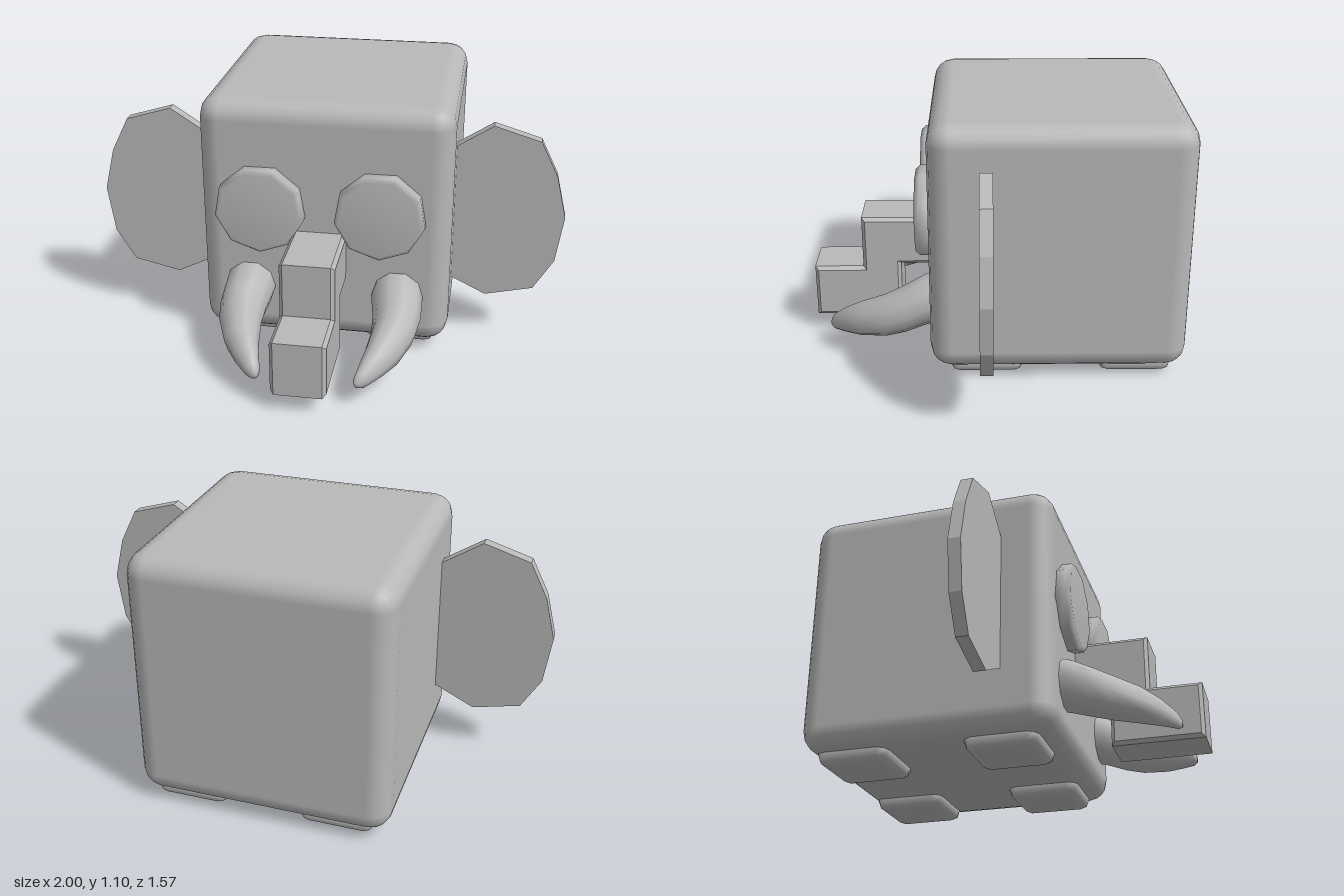
import * as THREE from 'three';
import { RoundedBoxGeometry } from 'three/addons/geometries/RoundedBoxGeometry.js';

const grey = new THREE.MeshStandardMaterial({ color: 0xb8b8b8 });
grey.name = 'plain grey';

// Prism from a 2D outline, with an optional bevel that stays inside the outline
function extrude(points, depth, bevel = 0) {
  const shape = new THREE.Shape(points.map(([x, y]) => new THREE.Vector2(x, y)));
  const geo = new THREE.ExtrudeGeometry(shape, {
    depth: depth - 2 * bevel,
    bevelEnabled: bevel > 0,
    bevelThickness: bevel,
    bevelSize: bevel,
    bevelOffset: -bevel,
    bevelSegments: 1,
  });
  return geo.translate(0, 0, bevel - depth / 2);
}

// Curved, tapering tusk: rings [x, y, z, radius] joined in loops
function tuskGeometry(side) {
  const rings = [
    [0.315, 0.29, 0.2, 0.105], [0.315, 0.275, 0.29, 0.108],
    [0.325, 0.235, 0.38, 0.1], [0.32, 0.203, 0.46, 0.09],
    [0.29, 0.17, 0.57, 0.073], [0.255, 0.145, 0.64, 0.054],
    [0.22, 0.118, 0.695, 0.032], [0.208, 0.108, 0.71, 0.014],
    [0.206, 0.107, 0.711, 0],
  ];
  const sides = 10, pos = [], index = [];
  for (const [x, y, z, r] of rings) {
    for (let j = 0; j < sides; j++) {
      const a = (j / sides) * Math.PI * 2;
      pos.push(side * x + r * Math.cos(a), y + r * Math.sin(a), z);
    }
  }
  for (let i = 0; i < rings.length - 1; i++) {
    for (let j = 0; j < sides; j++) {
      const k = (j + 1) % sides;
      const a = i * sides + j, b = i * sides + k;
      index.push(a, b, b + sides, a, b + sides, a + sides);
    }
  }
  const geo = new THREE.BufferGeometry();
  geo.setAttribute('position', new THREE.Float32BufferAttribute(pos, 3));
  geo.setIndex(index);
  geo.computeVertexNormals();
  return geo;
}

export function createModel() {
  const model = new THREE.Group();
  model.name = 'cubeElephant';
  const add = (name, geo, x = 0, y = 0, z = 0) => {
    const mesh = new THREE.Mesh(geo, grey);
    mesh.name = name;
    mesh.position.set(x, y, z);
    model.add(mesh);
    return mesh;
  };

  // Body
  add('body', new RoundedBoxGeometry(1.055, 1.057, 1.055, 2, 0.09), 0.01, 0.573, -0.257);

  // Stubby feet
  for (const [xName, x] of [['Right', -0.29], ['Left', 0.327]]) {
    for (const [zName, z] of [['front', 0.038], ['back', -0.578]]) {
      add(zName + xName + 'Foot', new RoundedBoxGeometry(0.305, 0.09, 0.305, 1, 0.04), x, 0.048, z);
    }
  }

  // Stepped trunk, drawn as a side profile (z, y)
  const trunk = extrude([
    [0.2, 0.33], [0.41, 0.33], [0.41, 0.08], [0.787, 0.08],
    [0.787, 0.315], [0.576, 0.315], [0.576, 0.545], [0.2, 0.545],
  ], 0.225, 0.015);
  add('trunk', trunk.rotateY(-Math.PI / 2), -0.007);

  // Ear outline, starting inside the body
  const ear = [
    [0.45, 0.32], [0.54, 0.276], [0.688, 0.203], [0.89, 0.25], [0.972, 0.388],
    [1.0, 0.592], [0.955, 0.774], [0.88, 0.923], [0.685, 0.982], [0.45, 0.83],
  ];
  // Nine-sided eye disc with a bevelled rim
  const eye = [[0.17, -0.08], [0.19, -0.06], [0.19, -0.02], [0.172, 0], [0, 0]]
    .map(([r, h]) => new THREE.Vector2(r, h));

  for (const [name, s] of [['left', 1], ['right', -1]]) {
    const outline = s > 0 ? ear : ear.map(([x, y]) => [-x, y]).reverse();
    add(name + 'Ear', extrude(outline, 0.05), 0, 0, 0.04);
    add(name + 'Eye', new THREE.LatheGeometry(eye, 9).rotateX(Math.PI / 2), s * 0.25 - 0.003, 0.645, 0.328);
    add(name + 'Tusk', tuskGeometry(s), 0.01);
  }
  return model;
}
